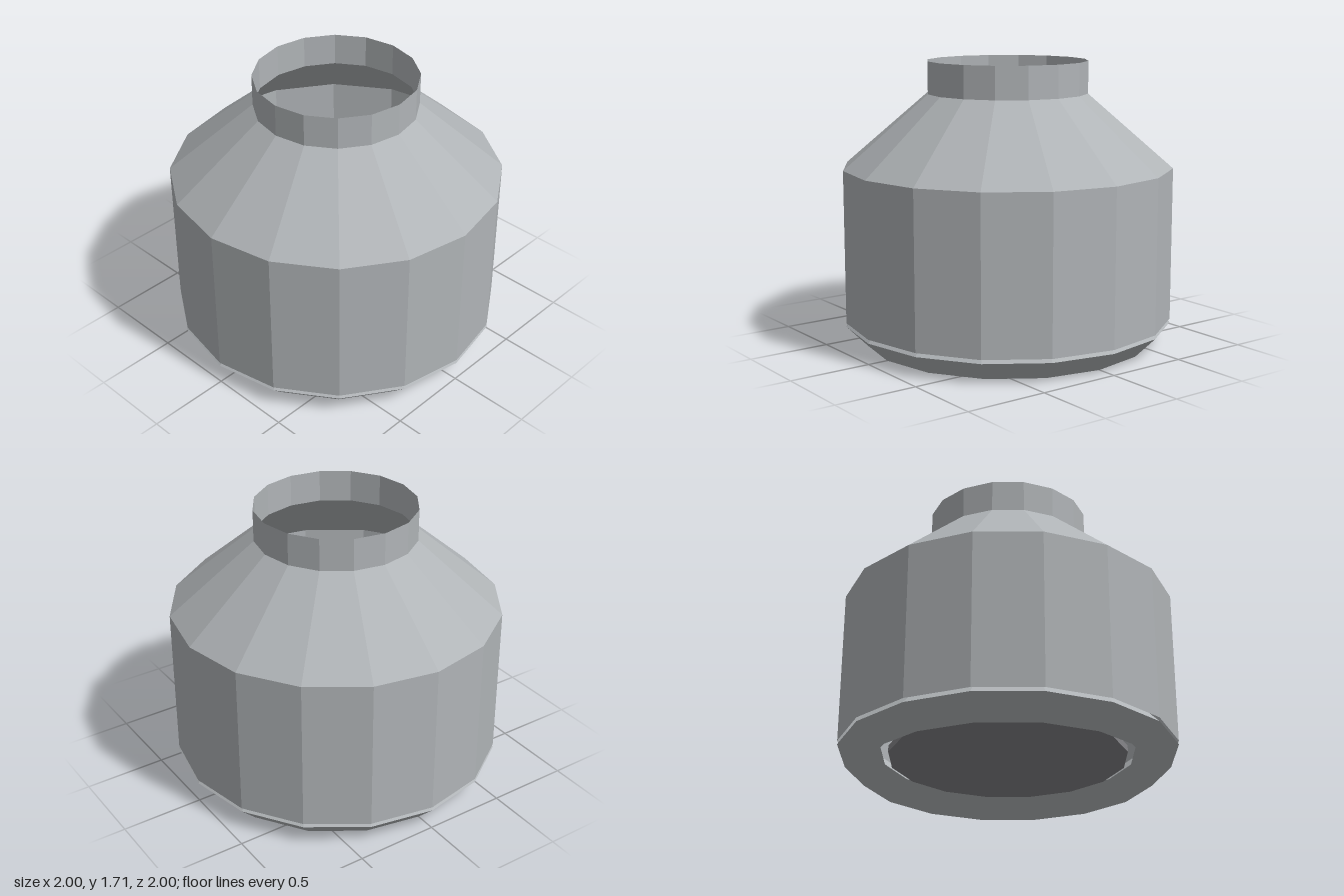
import * as THREE from 'three';

const SIDES = 16;

export function createModel() {
  const group = new THREE.Group();
  const steel = new THREE.MeshStandardMaterial({ color: 0xb0b4b7, flatShading: true, side: THREE.DoubleSide });
  steel.name = 'steel';
  const darkSteel = new THREE.MeshStandardMaterial({ color: 0x87878a, flatShading: true });
  darkSteel.name = 'dark steel';

  const add = (name, geometry, material, y) => {
    const mesh = new THREE.Mesh(geometry, material);
    mesh.name = name;
    mesh.position.y = y;
    group.add(mesh);
  };

  // Thin open shell section between two heights
  const shell = (name, rBottom, rTop, y0, y1) =>
    add(name, new THREE.CylinderGeometry(rTop, rBottom, y1 - y0, SIDES, 1, true), steel, (y0 + y1) / 2);

  shell('body', 1, 1, 0.148, 1.075);
  shell('shoulder', 1, 0.487, 1.075, 1.515);
  shell('neck', 0.487, 0.487, 1.515, 1.71);

  // Diamond-section ring the body stands on
  add('baseRing', new THREE.TorusGeometry(0.875, 0.125, 4, SIDES).rotateX(Math.PI / 2), steel, 0.125);

  // Plate closing the bottom, just inside the ring
  add('floorPlate', new THREE.CylinderGeometry(0.705, 0.705, 0.04, SIDES), darkSteel, 0.12);

  return group;
}
